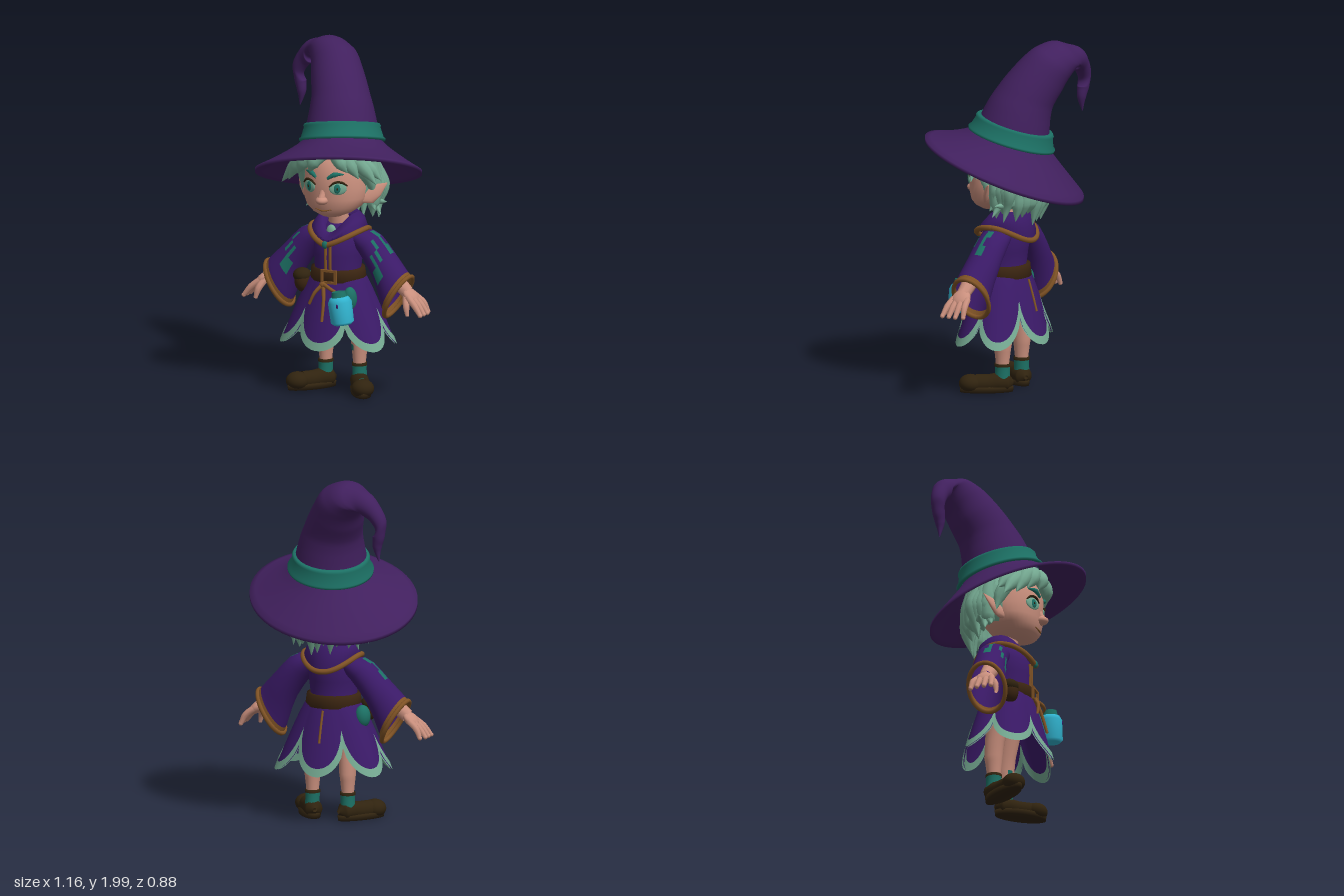
import * as THREE from 'three';

const mat = (name, color) => Object.assign(new THREE.MeshStandardMaterial({ color, side: THREE.DoubleSide }), { name });
const M = {
  hat: mat('hat purple', 0x41205e), robe: mat('robe purple', 0x3b1a68), teal: mat('teal', 0x1c7064),
  mint: mat('mint', 0x76ab93), skin: mat('skin', 0xc98f7d), shoe: mat('dark brown', 0x30230f),
  belt: mat('belt brown', 0x3b2511), trim: mat('tan trim', 0x805325), glass: mat('cyan glass', 0x32b6d2),
};
const V = (p) => new THREE.Vector3(...p);
const lerp = THREE.MathUtils.lerp;

// Smooth skin over a list of closed rings of points; keep(i, j) can select quads
function surface(rings, keep) {
  const n = rings[0].length, idx = [], part = [];
  for (let i = 0; i < rings.length - 1; i++) for (let j = 0; j < n; j++) {
    const k = (j + 1) % n, a = i * n + j, b = i * n + k, c = a + n, d = b + n;
    idx.push(a, c, b, b, c, d);
    if (!keep || keep(i, j)) part.push(a, c, b, b, c, d);
  }
  const g = new THREE.BufferGeometry();
  g.setAttribute('position', new THREE.Float32BufferAttribute(rings.flat(2), 3));
  g.setIndex(idx);
  g.computeVertexNormals();
  return g.setIndex(part);
}
const ring = (n, f) => Array.from({ length: n }, (_, j) => f(j / n * Math.PI * 2));

// Elliptic rings [x, y, z, radius, depth radius, turn about z]
const loftRings = (list, n = 28) => list.map(([x, y, z, ru, rv, a = 0]) => ring(n, (t) =>
  [x + Math.cos(t) * ru * Math.cos(a), y + Math.cos(t) * ru * Math.sin(a), z + Math.sin(t) * rv]));
const loft = (list, n) => surface(loftRings(list, n));

// Horizontal ring whose height follows a sloping plane
const slopeRing = (cx, cy, cz, rx, rz, sx, sz, n = 64) => ring(n, (t) => {
  const dx = rx * Math.cos(t), dz = rz * Math.sin(t);
  return [cx + dx, cy + sx * dx + sz * dz, cz + dz];
});

// Tapered tube through points, with radii spread evenly along it
function sweep(pts, radii, seg = 12, n = 10, closed = false) {
  const curve = new THREE.CatmullRomCurve3(pts.map(V), closed);
  const { normals, binormals } = curve.computeFrenetFrames(seg, closed), rings = [];
  for (let i = 0; i <= seg; i++) {
    const u = i / seg, f = u * (radii.length - 1), k = Math.min(Math.floor(f), radii.length - 2);
    const r = lerp(radii[k], radii[k + 1], f - k), c = curve.getPoint(u);
    rings.push(ring(n, (t) => c.clone().addScaledVector(normals[i], r * Math.cos(t))
      .addScaledVector(binormals[i], -r * Math.sin(t)).toArray()));
  }
  return surface(rings);
}

export function createModel() {
  const model = new THREE.Group();
  const add = (name, geo, m, parent = model) => {
    const mesh = new THREE.Mesh(geo, m);
    mesh.name = name;
    parent.add(mesh);
    return mesh;
  };
  const ball = (name, p, s, m, parent) => {
    const b = add(name, new THREE.SphereGeometry(1, 20, 14), m, parent);
    b.position.set(...p);
    b.scale.set(...s);
    return b;
  };

  // Hat: tilted brim with thickness, bent cone and band
  const brim = [];
  for (let i = 0; i <= 18; i++) {
    const top = i > 9, t = top ? (18 - i) / 8 : i / 9;
    brim.push(slopeRing(0, lerp(1.43, 1.265, Math.pow(t, 0.85)) + (top ? 0.012 : -0.008), lerp(-0.045, 0, t),
      lerp(0.22, 0.482, t), lerp(0.22, 0.438, t), lerp(0.14, 0.165, t), lerp(0.27, 0.37, t)));
  }
  add('hatBrim', surface(brim), M.hat);
  add('hatCone', sweep([[0, 1.42, -0.04], [-0.015, 1.56, -0.07], [-0.045, 1.68, -0.11], [-0.1, 1.79, -0.17],
    [-0.153, 1.875, -0.225], [-0.22, 1.915, -0.265], [-0.3, 1.89, -0.28], [-0.37, 1.835, -0.285], [-0.412, 1.76, -0.285],
    [-0.397, 1.695, -0.285], [-0.387, 1.635, -0.28], [-0.397, 1.555, -0.28]],
  [0.222, 0.195, 0.167, 0.15, 0.131, 0.108, 0.074, 0.052, 0.04, 0.035, 0.026, 0.003], 66, 32), M.hat);
  const bandRing = (t, r) => slopeRing(lerp(0, -0.012, t), lerp(1.435, 1.53, t), lerp(-0.045, -0.065, t), r, r, 0.14, 0.26);
  add('hatBand', surface([[0, 0.225], [0, 0.243], [0.14, 0.245], [0.2, 0.235], [0.8, 0.216], [0.86, 0.221], [1, 0.212], [1, 0.18]]
    .map(([t, r]) => bandRing(t, r))), M.teal);

  // Head
  add('head', loft([[0, 1.025, 0.08, 0.002, 0.002], [0, 1.03, 0.08, 0.055, 0.055], [0, 1.055, 0.065, 0.115, 0.105],
    [0, 1.09, 0.045, 0.162, 0.143], [0, 1.14, 0.03, 0.185, 0.167], [0, 1.2, 0.02, 0.186, 0.178], [0, 1.28, 0.02, 0.178, 0.182],
    [0, 1.36, 0.01, 0.15, 0.16], [0, 1.42, 0, 0.08, 0.09], [0, 1.435, 0, 0.002, 0.002]], 36), M.skin);
  add('neck', loft([[0, 0.88, -0.02, 0.065, 0.06], [0, 1.08, 0.01, 0.055, 0.055]]), M.skin);
  ball('nose', [0, 1.137, 0.197], [0.036, 0.025, 0.042], M.skin);
  add('noseBridge', sweep([[0, 1.22, 0.18], [0, 1.18, 0.186], [0, 1.14, 0.208]], [0.012, 0.02, 0.022]), M.skin);
  add('mouth', sweep([[-0.05, 1.082, 0.178], [0, 1.075, 0.186], [0.05, 1.084, 0.178]], [0.002, 0.005, 0.002]), M.trim);
  for (const s of [1, -1]) {
    // Eye plates, lashes and brows
    const eye = new THREE.Group();
    eye.name = 'eye';
    eye.position.set(s * 0.09, 1.21, 0.174);
    eye.rotation.y = s * 0.5;
    model.add(eye);
    ball('eyeball', [0, 0, 0], [0.05, 0.036, 0.01], M.mint, eye);
    ball('iris', [-s * 0.004, 0, 0.003], [0.024, 0.029, 0.01], M.teal, eye);
    ball('pupil', [-s * 0.004, 0, 0.006], [0.008, 0.011, 0.009], M.shoe, eye);
    add('lashes', sweep([[-0.05, 0.012, 0.006], [-0.018, 0.037, 0.01], [0.022, 0.037, 0.008], [0.054, 0.016, -0.002]],
      [0.004, 0.007, 0.007, 0.004]), M.shoe, eye);
    add('brow', sweep([[s * 0.035, 1.268, 0.2], [s * 0.075, 1.292, 0.187], [s * 0.12, 1.293, 0.158]], [0.008, 0.015, 0.003]), M.teal);
    add('ear', loft([[s * 0.15, 1.14, 0.02, 0.04, 0.03, -s * 1.1], [s * 0.2, 1.155, 0, 0.054, 0.02, -s * 1.1],
      [s * 0.24, 1.182, -0.022, 0.036, 0.014, -s * 0.95], [s * 0.284, 1.22, -0.055, 0.002, 0.002, -s * 0.9]], 16), M.skin);
    // Side locks
    for (const [x, y, z] of [[0.24, 1.03, -0.08], [0.22, 1.06, -0.05], [0.26, 1.1, -0.11], [0.2, 1.0, -0.13]])
      add('sideLock', sweep([[s * 0.17, 1.3, z + 0.02], [s * 0.205, 1.18, z - 0.02], [s * 0.19, 1.1, z], [s * x, y, z + 0.02]],
        [0.04, 0.042, 0.03, 0.002]), M.mint);
  }

  // Hair: cap, hanging back locks and swept fringe
  const hairCap = ball('hairCap', [0, 1.23, -0.045], [0.21, 0.21, 0.205], M.mint);
  hairCap.geometry = new THREE.SphereGeometry(1, 32, 20, Math.PI * 0.88, Math.PI * 1.24, 0, Math.PI * 0.72);
  for (let k = 0; k <= 14; k++) {
    const a = lerp(0.04, 0.96, k / 14) * Math.PI, x = 0.19 * Math.cos(a), z = -0.035 - 0.19 * Math.sin(a);
    const tip = 0.955 + 0.06 * Math.abs(Math.cos(a)) + 0.03 * (k % 3);
    add('backLock', sweep([[x * 0.95, 1.34, z * 0.9], [x * 1.04, 1.22, z], [x, 1.1, z * 1.03], [x * 0.95 + 0.01, tip, z * 0.95]],
      [0.035, 0.046, 0.042, 0.002]), M.mint);
  }
  const fringe = [[-0.03, 1.39, -0.07, 1.3, 0.205], [-0.09, 1.39, -0.17, 1.27, 0.17], [-0.13, 1.38, -0.25, 1.22, 0.13],
    [-0.15, 1.36, -0.32, 1.19, 0.08], [-0.17, 1.36, -0.3, 1.24, 0.04], [-0.18, 1.32, -0.23, 1.13, 0],
    [0.09, 1.4, 0.15, 1.31, 0.175], [0.12, 1.39, 0.2, 1.27, 0.13], [0.15, 1.38, 0.275, 1.23, 0.06],
    [0.17, 1.36, 0.285, 1.25, 0.02], [0.18, 1.31, 0.22, 1.14, -0.02]];
  for (const [mx, my, x, y, z] of fringe)
    add('fringeLock', sweep([[0.04 + mx * 0.3, 1.43, 0.1], [mx, my, 0.065 + z * 0.65], [lerp(mx, x, 0.55), lerp(my, y, 0.5), z + 0.015], [x, y, z]],
      [0.04, 0.048, 0.036, 0.002]), M.mint);

  // Robe body
  add('robeTop', loft([[0, 0.64, 0, 0.145, 0.135], [0, 0.71, 0.005, 0.132, 0.128], [0, 0.8, 0, 0.14, 0.135],
    [0, 0.88, -0.01, 0.145, 0.14], [0, 0.94, -0.02, 0.125, 0.115], [0, 0.985, -0.03, 0.075, 0.07]]), M.robe);

  // Skirt of six rounded panels; the mint hem climbs the slits between them
  const petal = (t) => Math.abs(Math.cos(3 * (t - Math.PI / 2)));
  const hem = (t) => 0.28 + (0.13 + 0.04 * Math.max(0, -Math.sin(t))) * (1 - Math.pow(petal(t), 0.62));
  const skirtPoint = (t, y, out) => {
    const d = Math.pow(Math.max(0, (0.69 - y) / 0.4), 0.85), fold = 0.018 * d * petal(t) + out;
    return [(lerp(0.145, 0.32, d) + fold) * Math.cos(t), y, (lerp(0.135, 0.235, d) + fold) * Math.sin(t)];
  };
  const skirtRings = (top, out, drop, steps) => Array.from({ length: steps + 1 }, (_, i) => ring(120, (t) =>
    skirtPoint(t, lerp(hem(t) - drop, top(t), i / steps), out)));
  add('skirt', surface(skirtRings(() => 0.69, 0, 0, 12)), M.robe);
  for (const out of [0.007, -0.005])
    add('skirtHem', surface(skirtRings((t) => hem(t) + 0.042 + 0.05 * Math.pow(1 - petal(t), 2), out, 0.004, 3)), M.mint);
  add('backSeam', sweep([0.64, 0.58, 0.52, 0.46].map((y) => skirtPoint(-Math.PI / 2, y, 0.002)), [0.007, 0.007]), M.trim);

  // Draped collar with trim
  const collarOuter = (t, o = 0) => [(0.165 + o) * Math.cos(t),
    0.95 - o - 0.08 * (Math.sin(t) > 0 ? 1 - Math.abs(Math.cos(t)) ** 1.3 : Math.sin(t) ** 2), -0.015 + (0.172 + o) * Math.sin(t)];
  const collarInner = (t, r, y) => {
    const front = Math.max(0, Math.sin(t));
    return [r * Math.cos(t), y - 0.1 * front ** 3, -0.03 + (r + 0.04 * front) * Math.sin(t)];
  };
  add('collar', surface([ring(48, (t) => collarOuter(t, -0.03)), ring(48, (t) => collarOuter(t)),
    ring(48, (t) => collarInner(t, 0.135, 1.0)), ring(48, (t) => collarInner(t, 0.1, 1.035)),
    ring(48, (t) => collarInner(t, 0.07, 1.0))]), M.robe);
  add('collarTrim', sweep(ring(24, (t) => collarOuter(t)), [0.016, 0.016], 72, 8, true), M.trim);
  ball('shirtFront', [0, 0.935, 0.085], [0.03, 0.04, 0.02], M.mint);
  ball('brooch', [0, 0.872, 0.162], [0.02, 0.022, 0.014], M.teal);
  for (const x of [-0.012, 0.018])
    add('placket', sweep([[x, 0.87, 0.132], [x, 0.8, 0.134], [x, 0.71, 0.13]], [0.009, 0.009]), M.trim);

  // Belt, buckle and hanging ties
  add('belt', loft([[0, 0.65, 0, 0.13, 0.12], [0, 0.65, 0, 0.163, 0.152], [0, 0.72, 0.003, 0.153, 0.148], [0, 0.72, 0, 0.12, 0.12]], 40), M.belt);
  const corners = (x, y) => [[-x, -y], [x, -y], [x, y], [-x, y]].map((p) => new THREE.Vector2(...p));
  const frame = new THREE.Shape(corners(0.05, 0.04));
  frame.holes.push(new THREE.Path(corners(0.036, 0.027)));
  add('buckle', new THREE.ExtrudeGeometry(frame, { depth: 0.014, bevelEnabled: false }), M.trim).position.set(0.02, 0.687, 0.148);
  for (const [x, y] of [[-0.08, 0.53], [0.015, 0.44], [0.1, 0.6]])
    add('beltTie', sweep([[-0.01, 0.645, 0.165], [x * 0.6, lerp(0.64, y, 0.4), 0.195], [x, y, 0.168 + (0.64 - y) * 0.3]], [0.012, 0.01, 0.008]), M.trim);
  ball('tieKnot', [-0.01, 0.64, 0.17], [0.022, 0.018, 0.014], M.trim);

  // Bottle, with stopper and painted spot
  const bottle = new THREE.Group();
  bottle.name = 'bottle';
  bottle.position.set(0.13, 0.515, 0.212);
  bottle.rotation.z = 0.15;
  model.add(bottle);
  add('bottleGlass', new THREE.LatheGeometry([[0, -0.08], [0.05, -0.08], [0.066, -0.065], [0.068, 0.05], [0.055, 0.075], [0.035, 0.085], [0, 0.085]]
    .map((p) => new THREE.Vector2(...p)), 24), M.glass, bottle);
  add('bottleStopper', new THREE.CylinderGeometry(0.038, 0.045, 0.03, 20), M.teal, bottle).position.y = 0.095;
  ball('bottleSpot', [0.015, 0.035, 0.066], [0.007, 0.012, 0.004], M.robe, bottle);
  // Belt bags
  ball('tealPouch', [0.14, 0.565, 0.125], [0.04, 0.07, 0.045], M.teal);
  ball('beltPouch', [-0.19, 0.63, 0.07], [0.05, 0.068, 0.05], M.belt);
  ball('pouchFlap', [-0.195, 0.66, 0.07], [0.053, 0.042, 0.053], M.shoe);
  ball('herbPouch', [-0.19, 0.6, -0.03], [0.045, 0.065, 0.05], M.teal);

  const patches = new Set(['4,5', '4,6', '4,7', '3,7', '3,9', '2,10', '1,13', '1,14', '3,13', '3,14', '2,13']);
  for (const s of [1, -1]) {
    // Bell sleeves with teal patches and tan cuffs
    const rows = [[0.09, 0.91, -0.03, 0.055, 0.07, -2.6], [0.14, 0.895, -0.03, 0.073, 0.085, -2.5], [0.19, 0.86, -0.03, 0.08, 0.09, -2.4],
      [0.235, 0.81, -0.025, 0.085, 0.093, -2.3], [0.28, 0.752, -0.02, 0.092, 0.097, -2.22], [0.32, 0.69, -0.012, 0.108, 0.1, -2.16],
      [0.35, 0.637, -0.005, 0.125, 0.103, -2.12], [0.365, 0.61, -0.004, 0.134, 0.105, -2.1], [0.382, 0.582, -0.004, 0.141, 0.107, -2.1]]
      .map(([x, y, z, u, v, a]) => [s * x, y, z, u, v, s * a]);
    const rings = loftRings(rows);
    // Ring angle runs the other way around on the mirrored arm
    const isPatch = (i, j) => patches.has(`${i},${s > 0 ? j : (41 - j) % 28}`);
    add('sleeve', surface(rings, (i, j) => i < 7 && !isPatch(i, j)), M.robe);
    add('sleevePatch', surface(rings, isPatch), M.teal);
    add('cuffBand', surface(rings, (i) => i === 7), M.trim);
    add('cuffRoll', sweep(rings[8].filter((_, j) => j % 2 === 0), [0.013, 0.013], 56, 8, true), M.trim);
    // Hands
    add('forearm', sweep([[s * 0.28, 0.76, 0], [s * 0.37, 0.68, 0.005], [s * 0.45, 0.615, 0.01]], [0.05, 0.046, 0.038]), M.skin);
    ball('palm', [s * 0.472, 0.597, 0.01], [0.057, 0.03, 0.056], M.skin).rotation.z = -s * 0.75;
    for (let f = 0; f < 4; f++) {
      const z = -0.032 + f * 0.028, reach = f === 0 ? 0.55 : 0.566;
      add('finger', sweep([[s * 0.475, 0.595, z], [s * 0.525, 0.555, z * 1.3], [s * reach, 0.505, z * 1.5]], [0.02, 0.019, 0.013], 8, 8), M.skin);
      ball('fingertip', [s * reach, 0.505, z * 1.5], [0.013, 0.013, 0.013], M.skin);
    }
    add('thumb', sweep([[s * 0.455, 0.6, 0.035], [s * 0.475, 0.55, 0.075], [s * 0.488, 0.495, 0.085]], [0.023, 0.02, 0.011], 8, 8), M.skin);

    // Legs, with a painted patch on one shin, socks and shoes
    const legRings = loftRings([[s * 0.11, 0.08, -0.05, 0.033, 0.035], [s * 0.108, 0.17, -0.05, 0.036, 0.04], [s * 0.108, 0.235, -0.051, 0.043, 0.048],
      [s * 0.108, 0.27, -0.052, 0.047, 0.053], [s * 0.106, 0.36, -0.045, 0.05, 0.056], [s * 0.095, 0.55, -0.02, 0.07, 0.075]], 20);
    const shinPatch = (i, j) => s > 0 && i === 2 && j >= 6 && j <= 7;
    add('leg', surface(legRings, (i, j) => !shinPatch(i, j)), M.skin);
    if (s > 0) add('shinPatch', surface(legRings, shinPatch), M.teal);
    add('sock', loft([[s * 0.11, 0.07, -0.05, 0.042, 0.045], [s * 0.108, 0.12, -0.05, 0.04, 0.043], [s * 0.108, 0.148, -0.05, 0.041, 0.044]], 20), M.teal);
    add('sockBand', loft([[s * 0.108, 0.145, -0.05, 0.043, 0.046], [s * 0.108, 0.162, -0.05, 0.043, 0.046], [s * 0.108, 0.162, -0.05, 0.03, 0.03]], 20), M.shoe);
    const shoe = new THREE.Group();
    shoe.name = 'shoe';
    shoe.position.set(s * 0.107, 0, -0.05);
    shoe.rotation.y = s * 0.6;
    model.add(shoe);
    add('shoeUpper', sweep([[0, 0.052, -0.062], [0, 0.053, -0.03], [0, 0.055, 0.02], [0, 0.05, 0.08], [0, 0.05, 0.15]],
      [0.012, 0.05, 0.053, 0.05, 0.05], 24, 20), M.shoe, shoe);
    ball('shoeToe', [0, 0.05, 0.182], [0.065, 0.052, 0.066], M.shoe, shoe);
    add('shoeSole', loft([[0, 0, 0.09, 0.002, 0.002], [0, 0, 0.09, 0.056, 0.15], [0, 0.03, 0.09, 0.06, 0.153], [0, 0.04, 0.09, 0.03, 0.1]], 28), M.shoe, shoe);
  }
  return model;
}
